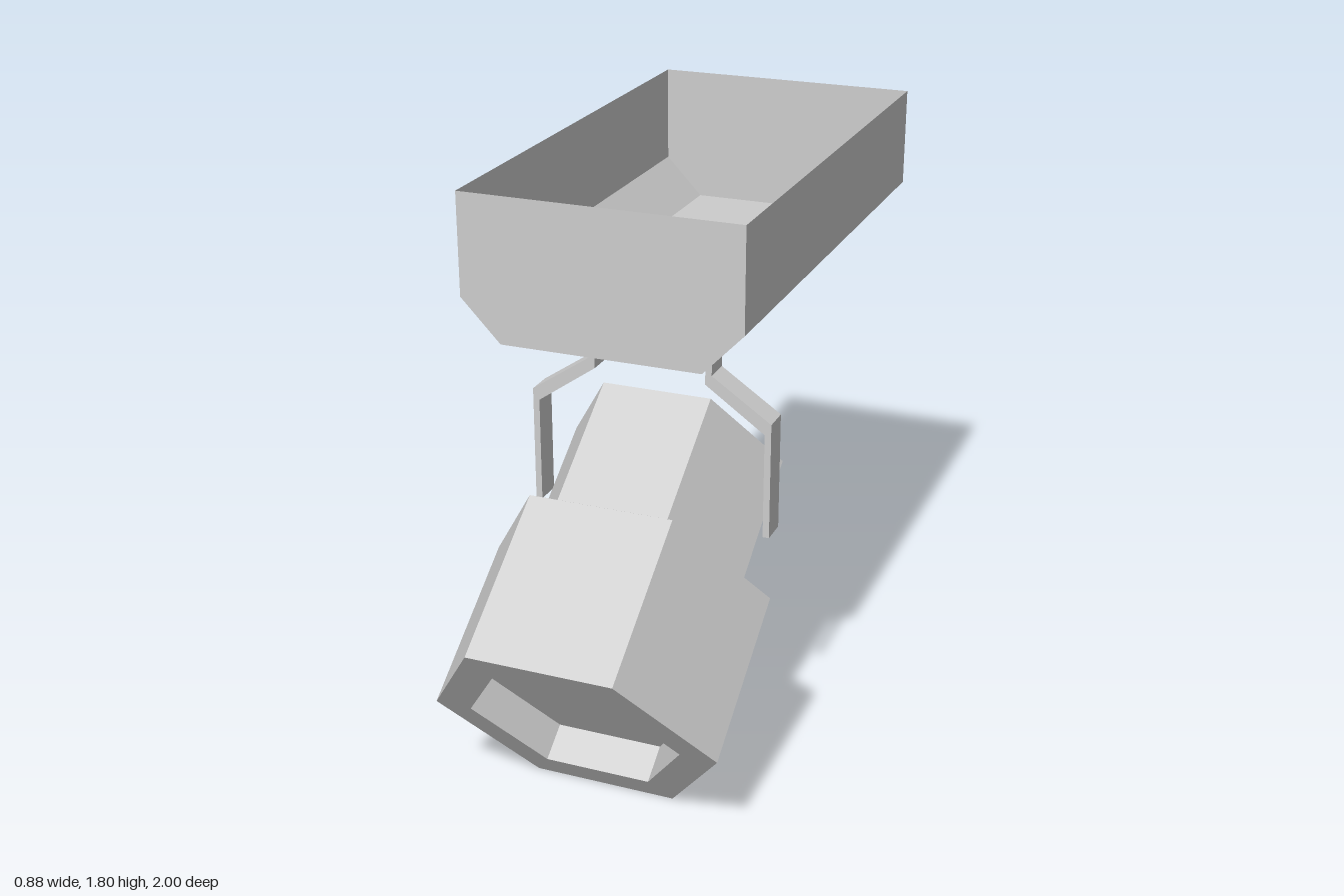
import * as THREE from 'three';

const grey = new THREE.MeshStandardMaterial({ color: 0xcccccc, flatShading: true, side: THREE.DoubleSide });
grey.name = 'light grey';

const toPoints = (list) => list.map(([x, y]) => new THREE.Vector2(x, y));

function part(name, geometry) {
  const mesh = new THREE.Mesh(geometry, grey);
  mesh.name = name;
  return mesh;
}

// six-sided turned part with its corners on the x axis
const hexLathe = (profile) => new THREE.LatheGeometry(toPoints(profile), 6, Math.PI / 2);

// thin open-topped trough with chamfered lower edges
function createTray() {
  const tray = new THREE.Group();
  tray.name = 'mountingTray';
  const back = -1, front = 0.555;
  const profile = [[-0.42, 1.8], [-0.42, 1.495], [-0.3, 1.37], [0.3, 1.37], [0.42, 1.495], [0.42, 1.8]];

  const positions = [];
  for (let i = 0; i < profile.length - 1; i++) {
    const [ax, ay] = profile[i], [bx, by] = profile[i + 1];
    positions.push(ax, ay, back, bx, by, back, bx, by, front);
    positions.push(ax, ay, back, bx, by, front, ax, ay, front);
  }
  const shell = new THREE.BufferGeometry();
  shell.setAttribute('position', new THREE.Float32BufferAttribute(positions, 3));
  shell.computeVertexNormals();
  tray.add(part('trayShell', shell));

  const end = new THREE.ShapeGeometry(new THREE.Shape(toPoints(profile)));
  const frontWall = part('trayFrontWall', end);
  frontWall.position.z = front;
  const backWall = part('trayBackWall', end);
  backWall.rotation.y = Math.PI;
  backWall.position.z = back;
  tray.add(frontWall, backWall);
  return tray;
}

// bent flat strap, one per side
function createArm(side) {
  const outline = [
    [0.1, 1.32], [0.195, 1.32], [0.195, 1.215], [0.38, 1.09], [0.38, 0.725],
    [0.36, 0.725], [0.36, 1.055], [0.175, 1.185], [0.175, 1.285], [0.1, 1.285],
  ].map(([x, y]) => [x * side, y]);
  const geometry = new THREE.ExtrudeGeometry(new THREE.Shape(toPoints(outline)), { depth: 0.085, bevelEnabled: false });
  geometry.translate(0, 0, 0.113);
  return part(side > 0 ? 'leftArm' : 'rightArm', geometry);
}

export function createModel() {
  const model = new THREE.Group();
  model.name = 'spotlight';
  model.add(createTray());

  // swivel hub, open at the top, passing through the tray floor
  const hub = part('swivelHub', hexLathe([[0, 1.26], [0.124, 1.26], [0.124, 1.5]]));
  hub.position.z = 0.155;
  model.add(hub, createArm(1), createArm(-1));

  // lamp: rear body, flared step, front housing and recessed face
  const lamp = part('lampHead', hexLathe([
    [0, -0.986], [0.343, -0.986], [0.343, -0.569], [0.439, -0.526],
    [0.439, 0], [0.327, 0], [0.327, -0.115], [0, -0.115],
  ]));
  lamp.position.set(0, 0.313, 0.783);
  lamp.rotation.x = THREE.MathUtils.degToRad(124.7);
  model.add(lamp);

  return model;
}
